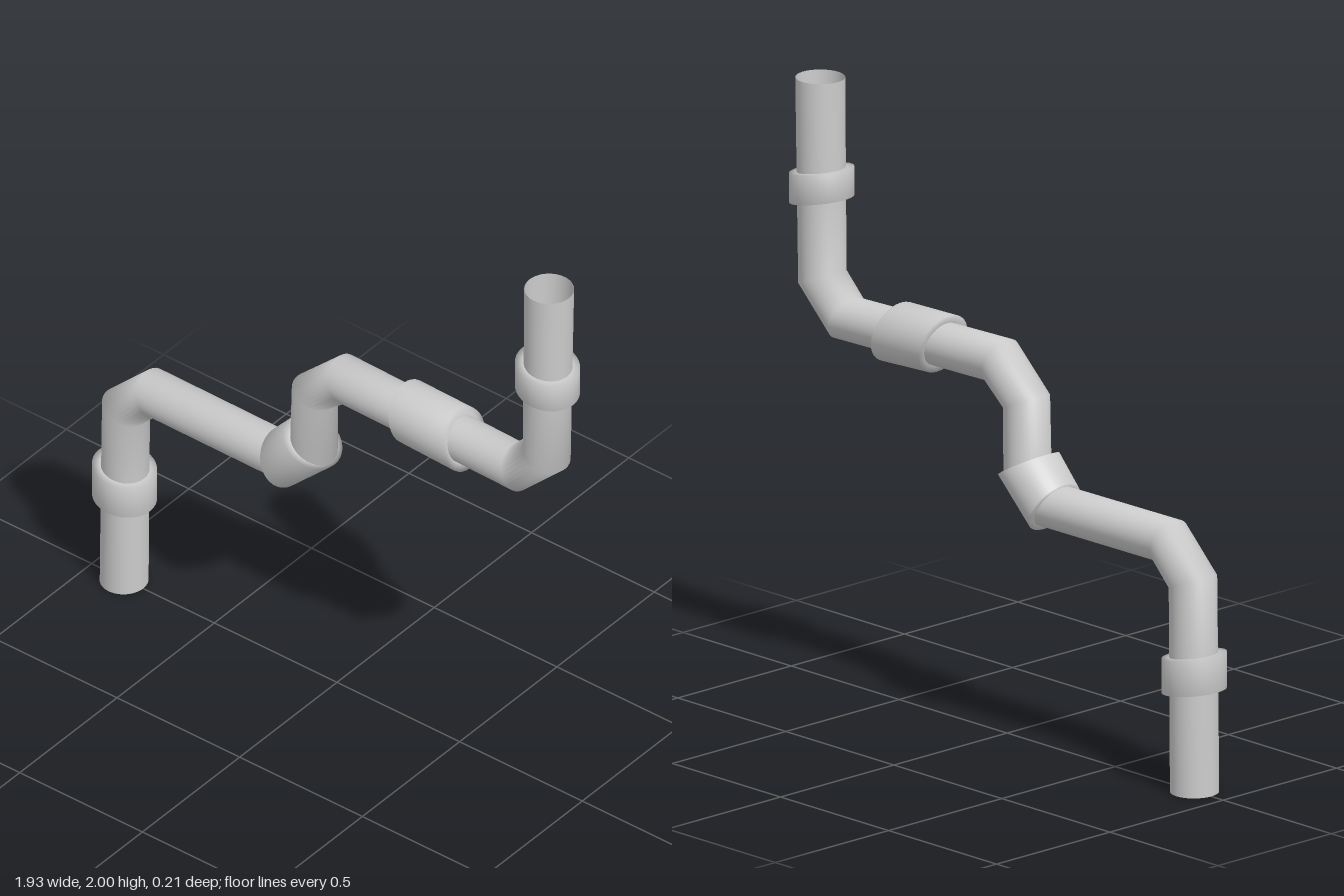
import * as THREE from 'three';

const SIDES = 32;

// Each station is [ax, ay, bx, by, rz]: the two silhouette points of an
// elliptical ring lying across the xy plane, and its half depth in z.
function skin(name, stations) {
  const pos = [], idx = [];
  for (const [ax, ay, bx, by, rz] of stations) {
    for (let j = 0; j < SIDES; j++) {
      const t = (j / SIDES) * Math.PI * 2, c = Math.cos(t);
      pos.push((ax + bx) / 2 + ((ax - bx) / 2) * c, (ay + by) / 2 + ((ay - by) / 2) * c, rz * Math.sin(t));
    }
  }
  for (let i = 0; i < stations.length - 1; i++) {
    for (let j = 0; j < SIDES; j++) {
      const k = (j + 1) % SIDES;
      const a = i * SIDES + j, b = i * SIDES + k, c = a + SIDES, d = b + SIDES;
      idx.push(a, b, c, b, d, c);
    }
  }
  const geo = new THREE.BufferGeometry();
  geo.setAttribute('position', new THREE.Float32BufferAttribute(pos, 3));
  geo.setIndex(idx);
  geo.computeVertexNormals();
  const mesh = new THREE.Mesh(geo, new THREE.MeshStandardMaterial({ color: 0xcccccc, side: THREE.DoubleSide }));
  mesh.name = name;
  return mesh;
}

// Sleeve between two slanted rings, with end faces closing in to the pipe
function collar(name, start, end) {
  const ring = ([ax, ay, bx, by], s) => {
    const cx = (ax + bx) / 2, cy = (ay + by) / 2;
    return [cx + (ax - cx) * s, cy + (ay - cy) * s, cx + (bx - cx) * s, cy + (by - cy) * s, 0.105 * s];
  };
  return skin(name, [ring(start, 0.74), ring(start, 1), ring(end, 1), ring(end, 0.74)]);
}

export function createModel() {
  const group = new THREE.Group();
  group.name = 'bentPipe';

  // Open-ended pipe with mitred bends
  const path = [
    [-0.945, 0, -0.79, 0],
    [-0.94, 0.4, -0.787, 0.39],
    [-0.935, 0.73, -0.785, 0.67],
    [-0.775, 0.885, -0.72, 0.738],
    [-0.215, 0.88, -0.16, 0.735],
    [-0.168, 0.93, -0.02, 0.87],
    [-0.16, 1.16, -0.02, 1.1],
    [0.005, 1.315, 0.06, 1.165],
    [0.38, 1.305, 0.43, 1.158],
    [0.71, 1.295, 0.77, 1.15],
    [0.78, 1.365, 0.93, 1.305],
    [0.783, 1.66, 0.937, 1.64],
    [0.785, 2, 0.945, 2],
  ];
  group.add(skin('pipe', path.map((p) => [...p, 0.08])));

  // Joint collars
  group.add(
    collar('lowerCollar', [-0.97, 0.352, -0.762, 0.325], [-0.97, 0.475, -0.762, 0.44]),
    collar('elbowCollar', [-0.265, 0.89, -0.17, 0.72], [-0.19, 0.975, -0.01, 0.873]),
    collar('middleCollar', [0.27, 1.335, 0.325, 1.135], [0.49, 1.33, 0.545, 1.125]),
    collar('upperCollar', [0.755, 1.612, 0.962, 1.577], [0.755, 1.71, 0.962, 1.677]),
  );
  return group;
}
